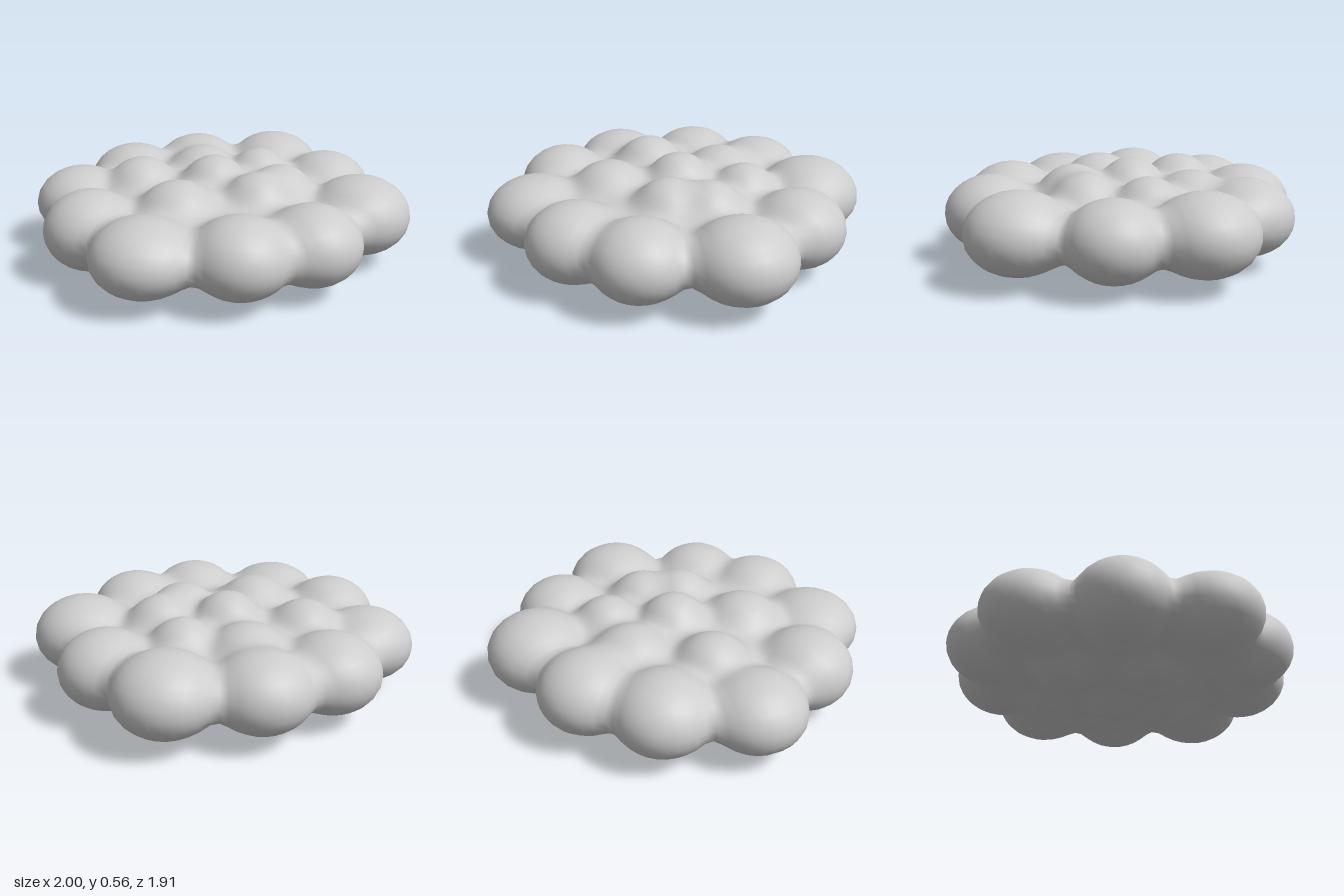
import * as THREE from 'three';
import { mergeVertices } from 'three/addons/utils/BufferGeometryUtils.js';

const MID = 0.285;   // height of the middle plane
const RIM = 0.6;     // radius of the flat part of the starting disc
const SHELL = 0.6;   // thickness of the starting disc around that plane
const INSET = 0.004; // how far the skin sits inside the lumps

// Each lump: x, y, z, horizontal radius, vertical radius
const LUMPS = [
  // outer ring
  [-0.2, 0.285, 0.67, 0.265, 0.215], [0.2, 0.285, 0.69, 0.265, 0.215],
  [0.65, 0.29, 0.45, 0.285, 0.22], [0.74, 0.285, -0.04, 0.263, 0.215],
  [0.63, 0.3, -0.48, 0.285, 0.22], [0.2, 0.29, -0.69, 0.27, 0.215],
  [-0.23, 0.285, -0.69, 0.27, 0.215], [-0.64, 0.275, -0.47, 0.267, 0.205],
  [-0.74, 0.28, -0.01, 0.263, 0.22], [-0.62, 0.275, 0.43, 0.285, 0.205],
  // inner cluster
  [-0.33, 0.28, -0.31, 0.235, 0.26], [0.01, 0.29, -0.06, 0.23, 0.285],
  [0.1, 0.28, -0.4, 0.25, 0.245], [0.36, 0.285, -0.18, 0.215, 0.25],
  [-0.31, 0.28, 0.16, 0.255, 0.26], [0.12, 0.285, 0.25, 0.23, 0.265],
  [0.31, 0.285, 0.16, 0.225, 0.255],
  // core that fills the gaps, lower than the lumps' centres
  [0, 0.25, 0, 0.77, 0.2],
];

const smoothMin = (a, b, k) => {
  const h = Math.max(k - Math.abs(a - b), 0) / k;
  return Math.min(a, b) - h * h * k * 0.25;
};

// Distance to the blended lumps
function distance(p) {
  let d = 10;
  for (const [x, y, z, r, ry] of LUMPS) {
    const len = Math.hypot((p.x - x) / r, (p.y - y) / ry, (p.z - z) / r);
    d = smoothMin(d, (len - 1) * Math.min(r, ry), 0.06);
  }
  return d + INSET;
}

// Rounded disc, profile running from the bottom centre to the top centre
function startingDisc() {
  const pts = [];
  for (let i = 0; i < 24; i++) pts.push(new THREE.Vector2((RIM * i) / 24, MID - SHELL));
  for (let i = 0; i <= 24; i++) {
    const a = -Math.PI / 2 + (Math.PI * i) / 24;
    pts.push(new THREE.Vector2(RIM + SHELL * Math.cos(a), MID + SHELL * Math.sin(a)));
  }
  for (let i = 23; i >= 0; i--) pts.push(new THREE.Vector2((RIM * i) / 24, MID + SHELL));
  const g = new THREE.LatheGeometry(pts, 120);
  g.deleteAttribute('uv');
  g.deleteAttribute('normal');
  return mergeVertices(g, 1e-4);
}

export function createModel() {
  const group = new THREE.Group();
  group.name = 'lumpyCluster';
  const grey = new THREE.MeshStandardMaterial({ color: 0xcccccc });
  grey.name = 'light grey';

  // Shrink the disc inward onto the lumps
  const geo = startingDisc();
  const pos = geo.attributes.position;
  const v = new THREE.Vector3(), q = new THREE.Vector3(), n = new THREE.Vector3();
  for (let i = 0; i < pos.count; i++) {
    v.fromBufferAttribute(pos, i);
    const r = Math.hypot(v.x, v.z);
    const s = r > RIM ? RIM / r : 1;
    q.set(v.x * s, MID, v.z * s);
    n.subVectors(v, q).normalize();
    let t = SHELL;
    for (let step = 0; step < 150 && t > 0; step++) {
      v.copy(q).addScaledVector(n, t);
      const d = distance(v);
      if (d < 0.001) break;
      t -= d;
    }
    pos.setXYZ(i, v.x, v.y, v.z);
  }
  geo.computeVertexNormals();

  const body = new THREE.Mesh(geo, grey);
  body.name = 'lumpyBody';
  group.add(body);
  return group;
}
